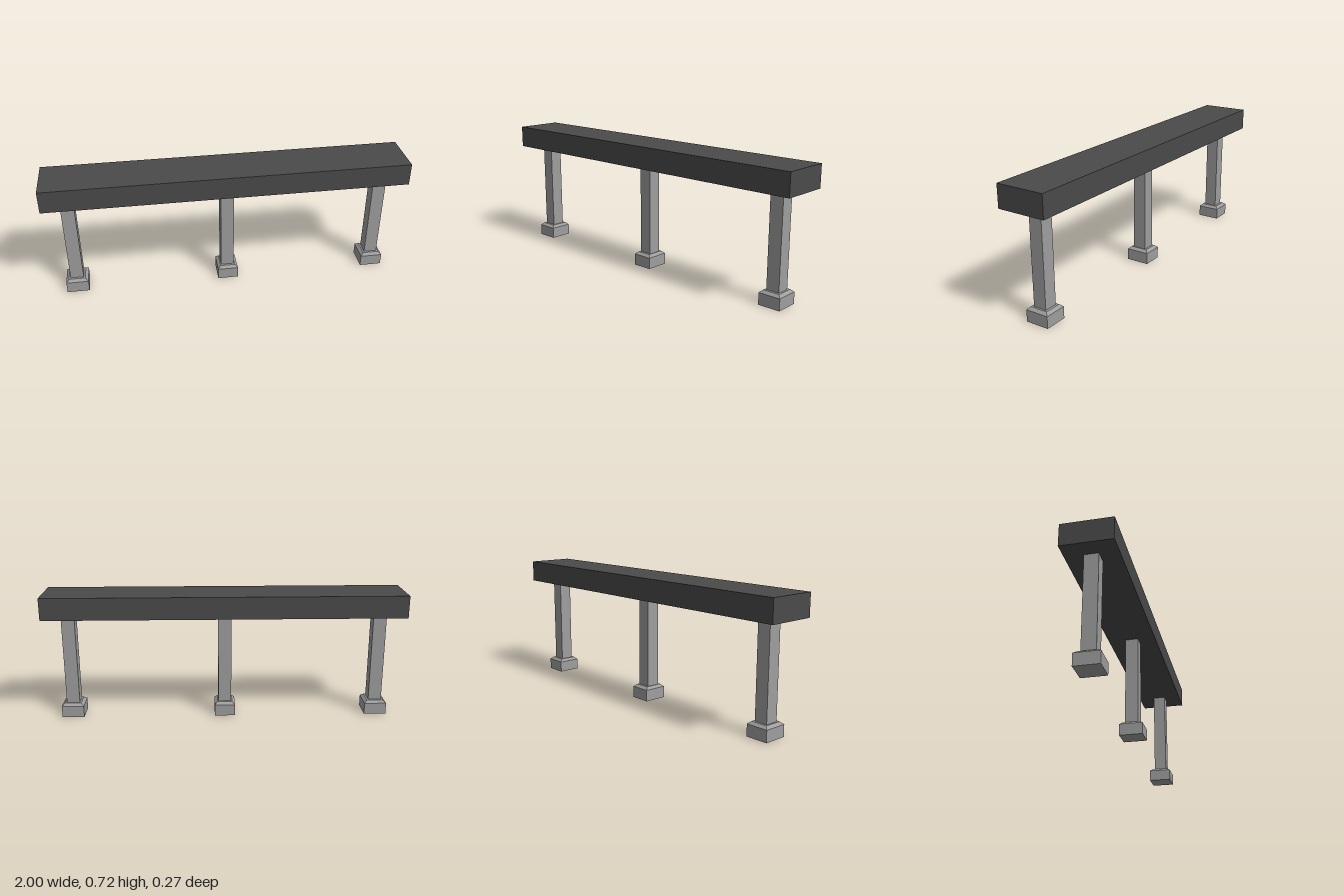
import * as THREE from 'three';

const darkMaterial = new THREE.MeshStandardMaterial({ color: 0x4a4a4a });
const postMaterial = new THREE.MeshStandardMaterial({ color: 0x9e9e9e });

// Box standing on height y
function block(name, width, height, depth, y, material) {
  const geometry = new THREE.BoxGeometry(width, height, depth);
  geometry.translate(0, y + height / 2, 0);
  const mesh = new THREE.Mesh(geometry, material);
  mesh.name = name;
  return mesh;
}

// Box whose top face is drawn in by the same inset on all four sides
function bevelledBlock(name, width, height, depth, y, inset, material) {
  const mesh = block(name, width, height, depth, y, material);
  const position = mesh.geometry.attributes.position;
  for (let i = 0; i < position.count; i++) {
    if (position.getY(i) < y + height / 2) continue;
    position.setX(i, position.getX(i) - Math.sign(position.getX(i)) * inset);
    position.setZ(i, position.getZ(i) - Math.sign(position.getZ(i)) * inset);
  }
  mesh.geometry.computeVertexNormals();
  return mesh;
}

// Square post on a plinth with a sloped cap
function createLeg(name, x, plinthWidth) {
  const leg = new THREE.Group();
  leg.name = name;
  leg.add(
    block('plinth', plinthWidth, 0.065, 0.131, 0, postMaterial),
    bevelledBlock('plinthCap', plinthWidth, 0.014, 0.131, 0.065, 0.016, postMaterial),
    block('post', 0.074, 0.514, 0.074, 0.079, postMaterial)
  );
  leg.position.x = x;
  return leg;
}

export function createModel() {
  const model = new THREE.Group();
  model.name = 'beamOnPosts';

  // Long beam across the top
  model.add(block('beam', 2, 0.124, 0.27, 0.593, darkMaterial));

  // Three legs, the middle one on a slightly narrower plinth
  model.add(
    createLeg('rightLeg', -0.87, 0.125),
    createLeg('middleLeg', 0, 0.116),
    createLeg('leftLeg', 0.87, 0.125)
  );
  return model;
}
